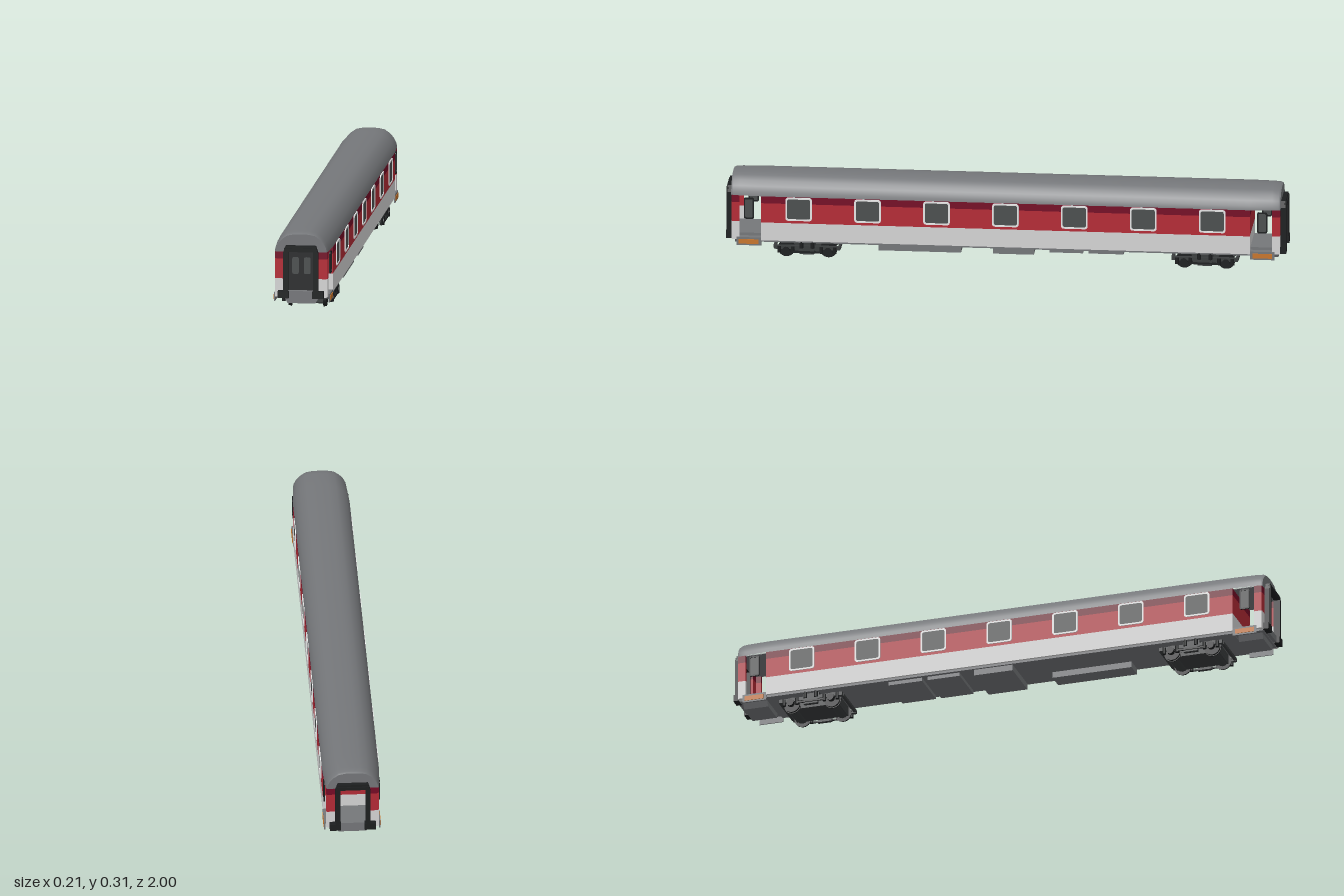
import * as THREE from 'three';

const mat = (name, color) => Object.assign(new THREE.MeshStandardMaterial({ color }), { name });

export function createModel() {
  const M = {
    grey: mat('roof grey', 0x75777a),
    red: mat('red', 0xb52b36),
    darkRed: mat('dark red', 0x760b26),
    light: mat('light grey', 0xd6d6d6),
    white: mat('window frame white', 0xefefef),
    glass: mat('glass grey', 0x4c5050),
    black: mat('rubber black', 0x1d1f20),
    door: mat('door dark grey', 0x2a2b2c),
    bogie: mat('bogie dark grey', 0x3a3d3e),
    orange: mat('step orange', 0xc9762c),
  };
  const root = new THREE.Group();
  root.name = 'passengerCoach';

  const add = (parent, name, geo, material, x = 0, y = 0, z = 0) => {
    const m = new THREE.Mesh(geo, material);
    m.name = name;
    m.position.set(x, y, z);
    parent.add(m);
    return m;
  };
  // Box given by its limits on each axis
  const box = (parent, name, material, x0, x1, y0, y1, z0, z1) =>
    add(parent, name, new THREE.BoxGeometry(Math.abs(x1 - x0), y1 - y0, Math.abs(z1 - z0)), material,
      (x0 + x1) / 2, (y0 + y1) / 2, (z0 + z1) / 2);
  // Wall block in the three livery bands
  const banded = (parent, name, x0, x1, z0, z1) => {
    [['light', 0.07, 0.137], ['red', 0.137, 0.209], ['darkRed', 0.209, 0.236]].forEach(([c, y0, y1]) =>
      box(parent, name + ' ' + c, M[c], x0, x1, y0, y1, z0, z1));
  };
  // Rounded rectangle path centred on a point
  const rounded = (w, h, r, cx = 0, cy = 0, Type = THREE.Shape) => {
    const s = new Type();
    [[1, -1, -Math.PI / 2], [1, 1, 0], [-1, 1, Math.PI / 2], [-1, -1, Math.PI]].forEach(([sx, sy, a]) =>
      s.absarc(cx + sx * (w / 2 - r), cy + sy * (h / 2 - r), r, a, a + Math.PI / 2, false));
    s.closePath();
    return s;
  };
  const extrude = (shape, depth) =>
    new THREE.ExtrudeGeometry(shape, { depth, bevelEnabled: false, curveSegments: 4 });

  // Main body, and underframe below it
  banded(root, 'body', -0.1, 0.1, -0.872, 0.872);
  box(root, 'underframe', M.grey, -0.092, 0.092, 0.062, 0.0705, -0.872, 0.872);

  // Arched roof, lofted along the length with drawn-in ends
  const half = [[0.101, 0.235], [0.098, 0.25], [0.089, 0.268], [0.074, 0.285], [0.054, 0.299], [0.028, 0.304]];
  const arc = [...half, [0, 0.305], ...half.map(([x, y]) => [-x, y]).reverse()];
  const endStations = [[0.98, 0.91, 0.9], [0.973, 0.94, 0.96], [0.95, 0.955, 0.99], [0.872, 1, 1]];
  const stations = [...endStations, ...endStations.map(([z, a, b]) => [-z, a, b]).reverse()];
  const rise = (y, s) => 0.235 + (y - 0.235) * s;
  const pos = [], idx = [], n = arc.length;
  stations.forEach(([z, sx, sy], s) => arc.forEach(([x, y], p) => {
    pos.push(x * sx, rise(y, sy), z);
    if (s < stations.length - 1 && p < n - 1) {
      const a = s * n + p;
      idx.push(a, a + n, a + 1, a + 1, a + n, a + n + 1);
    }
  }));
  const roof = new THREE.BufferGeometry();
  roof.setAttribute('position', new THREE.Float32BufferAttribute(pos, 3));
  roof.setIndex(idx);
  roof.computeVertexNormals();
  add(root, 'roof', roof, M.grey);
  const capShape = new THREE.Shape(arc.map(([x, y]) => new THREE.Vector2(x * 0.91, rise(y, 0.9))));

  // Side windows
  const paneFrame = rounded(0.095, 0.086, 0.01);
  paneFrame.holes.push(rounded(0.083, 0.074, 0.007, 0, 0, THREE.Path));
  const frameGeo = extrude(paneFrame, 0.004);
  const glassGeo = extrude(rounded(0.085, 0.076, 0.008), 0.002);
  for (const side of [-1, 1]) {
    for (let i = -3; i <= 3; i++) {
      const w = new THREE.Group();
      w.name = 'sideWindow';
      w.position.set(side * 0.0995, 0.19, i * 0.246);
      w.rotation.y = side * Math.PI / 2;
      add(w, 'windowFrame', frameGeo, M.white);
      add(w, 'windowGlass', glassGeo, M.glass);
      root.add(w);
    }
  }

  // Coach ends, built facing +z and turned for the back
  const hoop = new THREE.Shape([[-0.062, 0.075], [-0.045, 0.075], [-0.045, 0.236], [0.045, 0.236], [0.045, 0.075],
    [0.062, 0.075], [0.062, 0.235], [0.054, 0.258], [-0.054, 0.258], [-0.062, 0.235]]
    .map(([x, y]) => new THREE.Vector2(x, y)));
  const doorFrame = rounded(0.036, 0.078, 0.006);
  doorFrame.holes.push(rounded(0.027, 0.068, 0.004, 0, 0, THREE.Path));

  for (const end of [1, -1]) {
    const e = new THREE.Group();
    e.name = end > 0 ? 'frontEnd' : 'backEnd';
    e.rotation.y = end > 0 ? 0 : Math.PI;
    root.add(e);
    add(e, 'roofEnd', new THREE.ShapeGeometry(capShape), M.grey, 0, 0, 0.98);
    box(e, 'ceiling', M.grey, -0.091, 0.091, 0.234, 0.237, 0.87, 0.979);
    box(e, 'vestibuleFloor', M.grey, -0.078, 0.078, 0.066, 0.09, 0.87, 0.978);
    // Gangway with rubber hoop, feet and sloped beam below
    add(e, 'gangwayHoop', extrude(hoop, 0.018), M.black, 0, 0, 0.978);
    box(e, 'gangwayTop', M.black, -0.058, 0.058, 0.238, 0.25, 0.99, 1);
    box(e, 'gangwayPlate', M.grey, -0.045, 0.045, 0.07, 0.094, 0.97, 0.99);
    const beam = new THREE.Shape([[-0.05, 0.046], [0.05, 0.046], [0.064, 0.072], [-0.064, 0.072]]
      .map(([x, y]) => new THREE.Vector2(x, y)));
    add(e, 'couplingBox', extrude(beam, 0.09), M.grey, 0, 0, 0.88);

    for (const s of [-1, 1]) {
      banded(e, 'endWall', s * 0.047, s * 0.091, 0.968, 0.979);
      banded(e, 'cornerPost', s * 0.084, s * 0.094, 0.95, 0.976);
      box(e, 'gangwayFoot', M.black, s * 0.042, s * 0.082, 0.069, 0.094, 0.979, 1);
      box(e, 'gangwayRubber', M.black, s * 0.048, s * 0.06, 0.09, 0.24, 0.99, 1);
      // Boarding step with marker plate
      box(e, 'boardingStep', M.grey, s * 0.076, s * 0.1, 0.072, 0.08, 0.872, 0.955);
      box(e, 'stepPlate', M.grey, s * 0.096, s * 0.1, 0.05, 0.08, 0.872, 0.96);
      box(e, 'stepMarker', M.orange, s * 0.1, s * 0.102, 0.056, 0.073, 0.882, 0.952);
      // Pane standing in the open side doorway
      const pane = new THREE.Group();
      pane.name = 'sideDoorWindow';
      pane.position.set(s * 0.095, 0.188, 0.916);
      pane.rotation.y = s * Math.PI / 2;
      add(pane, 'doorWindowFrame', extrude(doorFrame, 0.005), M.black);
      add(pane, 'doorWindowGlass', extrude(rounded(0.029, 0.07, 0.004), 0.003), M.glass);
      e.add(pane);
    }
  }

  // Double door closing the front gangway
  box(root, 'gangwayDoor', M.door, -0.046, 0.046, 0.092, 0.233, 0.964, 0.97);
  for (const s of [-1, 1]) {
    add(root, 'gangwayDoorWindow', extrude(rounded(0.024, 0.061, 0.007), 0.002), M.glass, s * 0.021, 0.183, 0.97);
  }

  // Equipment boxes under the floor
  [[0.02, 0.085, 0.04, 0.16, 0.455], [-0.085, 0.085, 0.04, -0.1, 0.045],
    [-0.08, 0.08, 0.049, -0.275, -0.155], [-0.08, 0.08, 0.049, -0.42, -0.295]].forEach(([x0, x1, y, z0, z1]) =>
    box(root, 'equipmentBox', M.grey, x0, x1, y, 0.066, z0, z1));

  // Bogies
  const axial = (r, len, sides) => new THREE.CylinderGeometry(r, r, len, sides).rotateZ(Math.PI / 2);
  const wheelGeo = axial(0.028, 0.008, 24), flangeGeo = axial(0.031, 0.003, 24);
  const barrelGeo = axial(0.021, 0.11, 12), axleBoxGeo = axial(0.013, 0.016, 12);
  const springGeo = new THREE.CylinderGeometry(0.007, 0.007, 0.024, 10);
  for (const end of [-1, 1]) {
    const b = new THREE.Group();
    b.name = 'bogie';
    b.position.z = end * 0.71;
    root.add(b);
    box(b, 'bogieBody', M.bogie, -0.056, 0.056, 0.018, 0.055, -0.095, 0.095);
    box(b, 'bolster', M.bogie, -0.078, 0.078, 0.045, 0.064, -0.03, 0.03);
    for (const s of [-1, 1]) {
      box(b, 'sideFrame', M.bogie, s * 0.074, s * 0.086, 0.035, 0.048, -0.118, 0.118);
      box(b, 'sideFrameDrop', M.bogie, s * 0.074, s * 0.088, 0.018, 0.036, -0.026, 0.026);
      box(b, 'stepBar', M.black, s * 0.086, s * 0.092, 0.024, 0.03, -0.05, 0.05);
      for (const z of [-0.02, 0.02]) add(b, 'bolsterSpring', springGeo, M.black, s * 0.086, 0.053, z);
    }
    for (const z of [-0.075, 0.075]) {
      add(b, 'axleBarrel', barrelGeo, M.bogie, 0, 0.032, z);
      for (const s of [-1, 1]) {
        add(b, 'wheel', wheelGeo, M.black, s * 0.064, 0.031, z);
        add(b, 'wheelFlange', flangeGeo, M.black, s * 0.059, 0.031, z);
        add(b, 'axleBox', axleBoxGeo, M.black, s * 0.084, 0.031, z);
        for (const d of [-0.024, 0.024]) add(b, 'axleSpring', springGeo, M.black, s * 0.084, 0.034, z + d);
      }
    }
    for (const z of [-1, 1]) box(b, 'endBeam', M.bogie, -0.074, 0.074, 0.036, 0.046, z * 0.11, z * 0.12);
  }
  return root;
}
